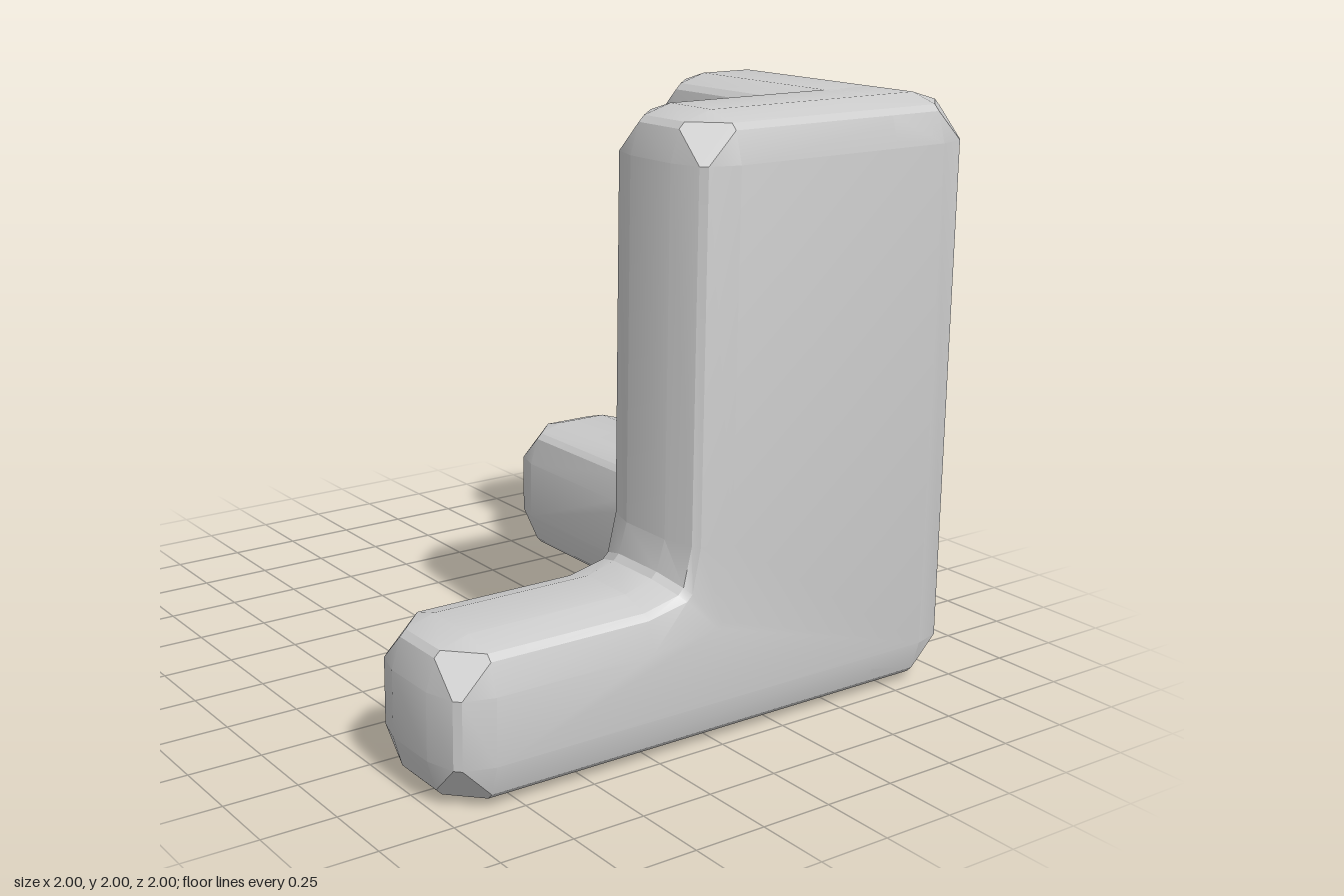
import * as THREE from 'three';
import { toCreasedNormals } from 'three/addons/utils/BufferGeometryUtils.js';

const REACH = 0.15; // how far the worn edge runs into each face
const HALF = 0.25;  // half the wall thickness
// Edge profile: [depth below the face, inset from the outline]
const EDGE = [[0, 0.15], [0.03, 0.05], [0.05, 0.03], [0.15, 0]];
const OUTLINE = [[-1, 0], [1, 0], [1, 2], [-0.13, 2], [-0.13, 0.52], [-1, 0.52]]
  .map(([x, y]) => new THREE.Vector2(x, y));

// The outline at a given inset, with four points for every corner
function insetLoop(inset) {
  const n = OUTLINE.length;
  return OUTLINE.flatMap((p, i) => {
    const a = OUTLINE[(i + n - 1) % n].clone().sub(p).normalize();
    const b = OUTLINE[(i + 1) % n].clone().sub(p).normalize();
    const at = (u, v) => p.clone().addScaledVector(a, u).addScaledVector(b, v);
    const s = b.cross(a) > 0 ? 1 : -1; // +1 convex, -1 concave
    const start = at(REACH, s * inset), end = at(s * inset, REACH);
    if (s > 0 && inset > 0) return [start, start.clone(), end.clone(), end];
    return [start, at(0.05 - inset, 0.03 - inset), at(0.03 - inset, 0.05 - inset), end];
  });
}

// L-shaped slab with worn edges, centred on its thickness
function wallGeometry() {
  const front = EDGE.map(([depth, inset]) =>
    insetLoop(inset).map(p => new THREE.Vector3(p.x, p.y, HALF - depth)));
  const back = front.map(loop => loop.map(p => new THREE.Vector3(p.x, p.y, -p.z))).reverse();
  const loops = [...front, ...back];
  const pos = [];
  const tri = (a, b, c) => {
    const area = b.clone().sub(a).cross(c.clone().sub(a)).length();
    if (area > 1e-7) for (const p of [a, b, c]) pos.push(p.x, p.y, p.z);
  };
  // Rim
  for (let k = 0; k < loops.length - 1; k++) {
    const f = loops[k], g = loops[k + 1], n = f.length;
    for (let i = 0; i < n; i++) {
      const j = (i + 1) % n;
      tri(f[i], g[i], f[j]);
      tri(f[j], g[i], g[j]);
    }
  }
  // Flat faces
  const first = loops[0], last = loops[loops.length - 1];
  for (const [a, b, c] of THREE.ShapeUtils.triangulateShape(insetLoop(EDGE[0][1]), [])) {
    tri(first[a], first[b], first[c]);
    tri(last[a], last[c], last[b]);
  }
  const geo = new THREE.BufferGeometry();
  geo.setAttribute('position', new THREE.Float32BufferAttribute(pos, 3));
  return toCreasedNormals(geo, 0.4);
}

export function createModel() {
  const group = new THREE.Group();
  const material = new THREE.MeshStandardMaterial({ color: 0xcccccc });
  const add = (name, geo) => {
    const mesh = new THREE.Mesh(geo, material);
    mesh.name = name;
    group.add(mesh);
  };

  add('frontWall', wallGeometry().translate(0, 0, 0.75));
  add('sideWall', wallGeometry().rotateY(-Math.PI / 2).translate(0.75, 0, 0));

  // Fillet in the inner corner where the walls meet
  const fillet = new THREE.Shape([[0.35, 0.5], [0.45, 0.47], [0.47, 0.45], [0.5, 0.35],
    [0.55, 0.35], [0.55, 0.55], [0.35, 0.55]].map(([x, z]) => new THREE.Vector2(x, -z)));
  const filletGeo = new THREE.ExtrudeGeometry(fillet, { depth: 1.88, bevelEnabled: false });
  add('innerFillet', toCreasedNormals(filletGeo.rotateX(-Math.PI / 2).translate(0, 0.06, 0), 0.6));

  return group;
}
